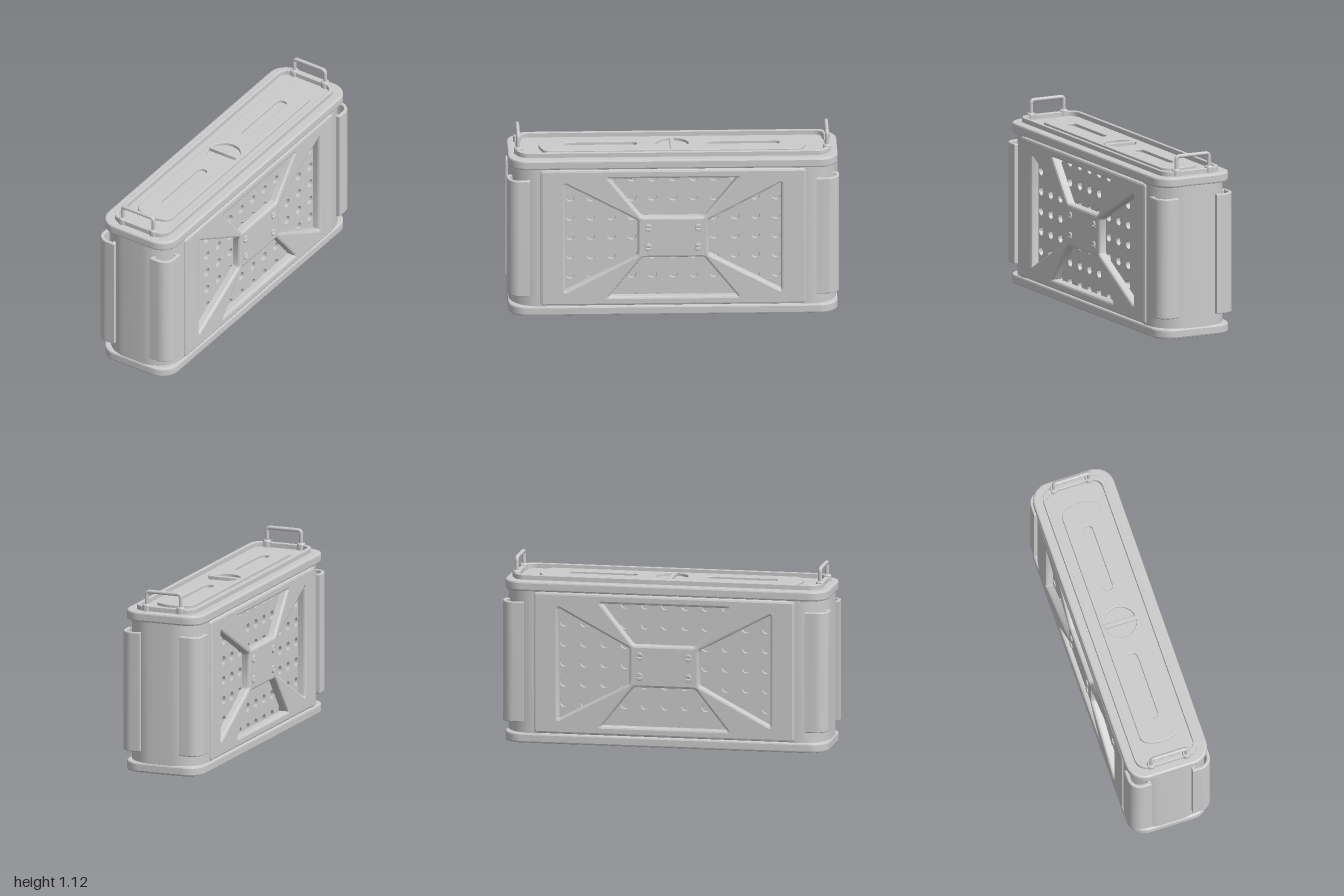
import * as THREE from 'three';
import { toCreasedNormals } from 'three/addons/utils/BufferGeometryUtils.js';

const grey = new THREE.MeshStandardMaterial({ color: 0xcccccc });

function add(parent, name, geometry) {
  const mesh = new THREE.Mesh(geometry, grey);
  mesh.name = name;
  parent.add(mesh);
  return mesh;
}

// Closed outline through [x, y, cornerRadius] points
function roundPoly(points, Type = THREE.Shape) {
  const path = new Type();
  const n = points.length;
  points.forEach(([x, y, r = 0], i) => {
    const p = new THREE.Vector2(x, y);
    const toward = ([qx, qy]) => new THREE.Vector2(qx, qy).sub(p).setLength(r).add(p);
    const a = toward(points[(i + n - 1) % n]), b = toward(points[(i + 1) % n]);
    if (i === 0) path.moveTo(a.x, a.y); else path.lineTo(a.x, a.y);
    if (r > 0) {
      const c = a.clone().lerp(p, 0.55), d = b.clone().lerp(p, 0.55);
      path.bezierCurveTo(c.x, c.y, d.x, d.y, b.x, b.y);
    }
  });
  path.closePath();
  return path;
}

const rect = (w, h, r, Type, cy = 0) => roundPoly(
  [[-w, cy - h, r], [w, cy - h, r], [w, cy + h, r], [-w, cy + h, r]], Type);

function circle(x, y, r) {
  const path = new THREE.Path();
  path.absarc(x, y, r, 0, Math.PI * 2, false);
  return path;
}

// The crease angle keeps flat faces crisp and rounded outlines smooth
function extrude(shape, thickness, bevel = 0) {
  const geo = new THREE.ExtrudeGeometry(shape, {
    depth: thickness - 2 * bevel, curveSegments: 12,
    bevelEnabled: bevel > 0, bevelSize: bevel, bevelThickness: bevel, bevelSegments: 2,
  });
  geo.translate(0, 0, bevel);
  return toCreasedNormals(geo, 0.37);
}

// Outline in x/z, standing between two heights
const slab = (shape, y0, y1, bevel) =>
  extrude(shape, y1 - y0, bevel).rotateX(Math.PI / 2).translate(0, y1, 0);

// Outline in z/y, standing between two x positions
const sidePlate = (shape, x0, x1, bevel) =>
  extrude(shape, x1 - x0, bevel).rotateY(Math.PI / 2).translate(x0, 0, 0);

const MID = 0.495; // height of the side pattern's centre

function createSide() {
  const side = new THREE.Group();

  // Perforated sheet behind the frame
  const sheet = rect(0.72, 0.42, 0, THREE.Shape, MID);
  for (let i = -5; i <= 5; i++) {
    for (let j = -3; j <= 3; j++) sheet.holes.push(circle(i * 0.124, MID + j * 0.123, 0.027));
  }
  add(side, 'perforatedSheet', sidePlate(sheet, 0.18, 0.208));

  // Frame with four windows leaving a cross brace
  const b = 0.014;
  const frame = rect(0.8 - b, 0.432 - b, 0.004, THREE.Shape, MID);
  for (const s of [-1, 1]) {
    frame.holes.push(roundPoly([
      [-0.415, MID + s * 0.39, 0.03], [0.415, MID + s * 0.39, 0.03],
      [0.195, MID + s * 0.115, 0.02], [-0.195, MID + s * 0.115, 0.02]], THREE.Path));
    frame.holes.push(roundPoly([
      [s * 0.665, MID - 0.365, 0.035], [s * 0.665, MID + 0.365, 0.035],
      [s * 0.2, MID + 0.117, 0.02], [s * 0.2, MID - 0.117, 0.02]], THREE.Path));
  }
  add(side, 'sideFrame', sidePlate(frame, 0.19, 0.257, b));

  // Slotted screws, each head made of two halves
  const half = new THREE.Shape();
  half.absarc(0, 0, 0.013, 0, Math.PI, false);
  half.closePath();
  const halfGeo = sidePlate(half, 0, 0.012, 0.005).translate(0, 0.007, 0);
  for (const z of [-0.15, 0.15]) {
    for (const y of [-0.062, 0.062]) {
      const screw = new THREE.Group();
      screw.name = 'screw';
      for (const turn of [0, Math.PI]) add(screw, 'screwHalf', halfGeo).rotation.x = turn;
      screw.position.set(0.253, MID + y, z);
      side.add(screw);
    }
  }
  return side;
}

function createHandle() {
  const handle = new THREE.Group();
  handle.name = 'handle';
  const bar = new THREE.CurvePath();
  const v = (x, y) => new THREE.Vector3(x, y, 0);
  const w = 0.111, top = 1.109, r = 0.022;
  bar.add(new THREE.LineCurve3(v(-w, 0.99), v(-w, top - r)));
  bar.add(new THREE.QuadraticBezierCurve3(v(-w, top - r), v(-w, top), v(-w + r, top)));
  bar.add(new THREE.LineCurve3(v(-w + r, top), v(w - r, top)));
  bar.add(new THREE.QuadraticBezierCurve3(v(w - r, top), v(w, top), v(w, top - r)));
  bar.add(new THREE.LineCurve3(v(w, top - r), v(w, 0.99)));
  add(handle, 'handleBar', new THREE.TubeGeometry(bar, 96, 0.012, 12));
  // Collar at the foot of each leg
  const profile = [[0.025, 0.98], [0.025, 1.024], [0.021, 1.031], [0.01, 1.033]]
    .map(([x, y]) => new THREE.Vector2(x, y));
  for (const x of [-w, w]) {
    const collar = toCreasedNormals(new THREE.LatheGeometry(profile, 20), 0.5);
    add(handle, 'handleCollar', collar.translate(x, 0, 0));
  }
  return handle;
}

export function createModel() {
  const model = new THREE.Group();
  model.name = 'metalCase';

  // Body with broadly rounded ends and a narrower waist behind the side panels
  const e = 0.245, l = 0.987, n = 0.76, c = 0.183, r = 0.18;
  add(model, 'body', slab(roundPoly([
    [-e, -l, r], [e, -l, r], [e, -n], [c, -n], [c, n], [e, n],
    [e, l, r], [-e, l, r], [-e, n], [-c, n], [-c, -n], [-e, -n]]), 0.03, 0.96));

  // Base and lid
  const b = 0.011;
  const rim = rect(0.254 - b, 0.993 - b, 0.105);
  add(model, 'base', slab(rim, 0, 0.06, b));
  add(model, 'lid', slab(rim, 0.93, 0.99, b));

  // Raised rim on the lid
  const lip = rect(0.193, 0.94, 0.075);
  lip.holes.push(rect(0.179, 0.92, 0.065, THREE.Path));
  add(model, 'lidRim', slab(lip, 0.98, 1.02, 0.004));

  // Raised lid plate with two slots and a round opening
  const plate = roundPoly([
    [-0.117, -0.77, 0.035], [0, -0.812, 0.06], [0.117, -0.77, 0.035],
    [0.117, 0.77, 0.035], [0, 0.812, 0.06], [-0.117, 0.77, 0.035]]);
  plate.holes.push(circle(0, 0, 0.103));
  for (const s of [-1, 1]) plate.holes.push(rect(0.036, 0.222, 0.036, THREE.Path, s * 0.43));
  add(model, 'lidPlate', slab(plate, 0.983, 1.008, 0.004));
  add(model, 'turnGrip', slab(rect(0.098, 0.009, 0.006), 0.983, 1.012, 0.004));

  // Corner guards: thin bent shells standing off the body on inward lips
  const x = 0.254, z = 0.994, t = 0.01, bend = 0.07;
  const guard = roundPoly([
    [x, 0.868], [x, z, bend], [0.136, z], [0.136, z - 0.03], [0.136 + t, z - 0.03],
    [0.136 + t, z - t], [x - t, z - t, bend - t], [x - t, 0.868 + t],
    [x - 0.03, 0.868 + t], [x - 0.03, 0.868]]);
  const guardGeo = slab(guard, 0.127, 0.864, 0.006);
  for (const turn of [0, Math.PI]) {
    add(model, 'cornerGuard', guardGeo).rotation.y = turn;
    // Mirrored twin
    const twin = add(model, 'cornerGuard', guardGeo);
    twin.scale.x = -1;
    twin.rotation.y = turn;
  }

  // Side panels and handles on both sides and ends
  for (const [name, turn] of [['leftSide', 0], ['rightSide', Math.PI]]) {
    const side = createSide();
    side.name = name;
    side.rotation.y = turn;
    model.add(side);
  }
  for (const end of [-0.93, 0.93]) {
    const handle = createHandle();
    handle.position.z = end;
    model.add(handle);
  }
  return model;
}
